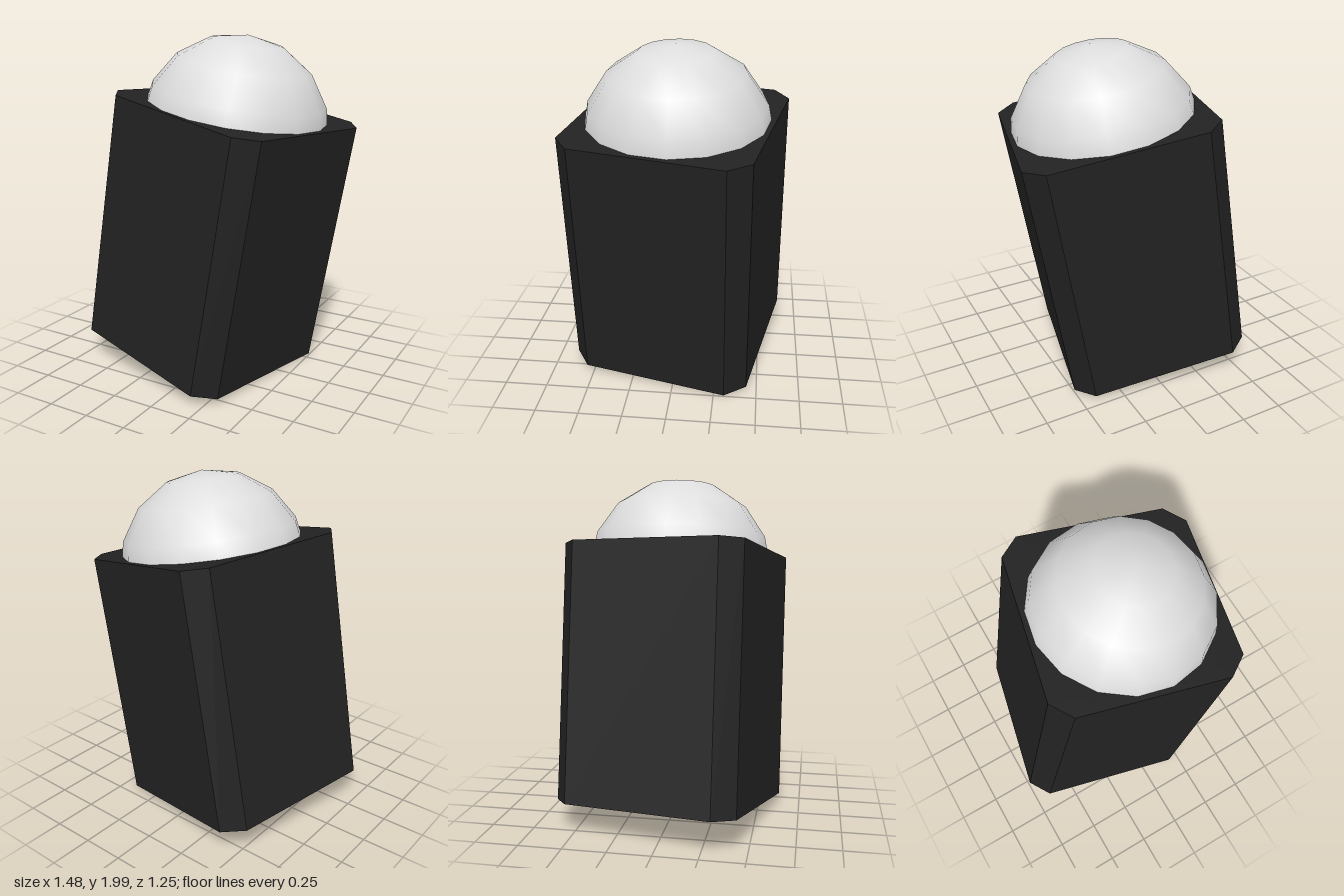
import * as THREE from 'three';

export function createModel() {
  const black = new THREE.MeshStandardMaterial({ color: 0x222222, side: THREE.DoubleSide });
  black.name = 'matte black';
  const white = new THREE.MeshStandardMaterial({ color: 0xdddddd, side: THREE.DoubleSide });
  white.name = 'pale grey';

  const HEIGHT = 1.491, RADIUS = 0.698, DOME = 0.55;

  // Leaning post; its origin is the centre of the top face
  const post = new THREE.Group();
  post.name = 'leaningPost';
  post.position.set(0.125, 1.58, 0);
  post.rotation.z = THREE.MathUtils.degToRad(-9.67);

  const add = (name, geometry, material) => {
    const mesh = new THREE.Mesh(geometry, material);
    mesh.name = name;
    post.add(mesh);
    return mesh;
  };

  // Square section with cut corners, turned on the post's axis
  const section = [];
  for (let k = 0; k < 4; k++) {
    for (const cut of [-6.3, 6.3]) {
      const a = THREE.MathUtils.degToRad(32.7 + 90 * k + cut);
      section.push(new THREE.Vector2(RADIUS * Math.cos(a), RADIUS * Math.sin(a)));
    }
  }

  // Walls, open at the bottom
  const corners = [];
  section.forEach((p, i) => {
    const q = section[(i + 1) % section.length];
    const a = [p.x, -HEIGHT, -p.y], b = [q.x, -HEIGHT, -q.y];
    const c = [q.x, 0, -q.y], d = [p.x, 0, -p.y];
    corners.push(...a, ...b, ...c, ...a, ...c, ...d);
  });
  const walls = new THREE.BufferGeometry();
  walls.setAttribute('position', new THREE.Float32BufferAttribute(corners, 3));
  walls.computeVertexNormals();
  add('walls', walls, black);

  // Flat top
  add('topFace', new THREE.ShapeGeometry(new THREE.Shape(section)).rotateX(-Math.PI / 2), black);

  // Smooth dome, sunk slightly into the top
  const dome = new THREE.SphereGeometry(DOME, 16, 4, 0, Math.PI * 2, 0, Math.PI / 2);
  add('dome', dome, white).position.y = -0.124;

  const model = new THREE.Group();
  model.name = 'domedPost';
  model.add(post);
  return model;
}
